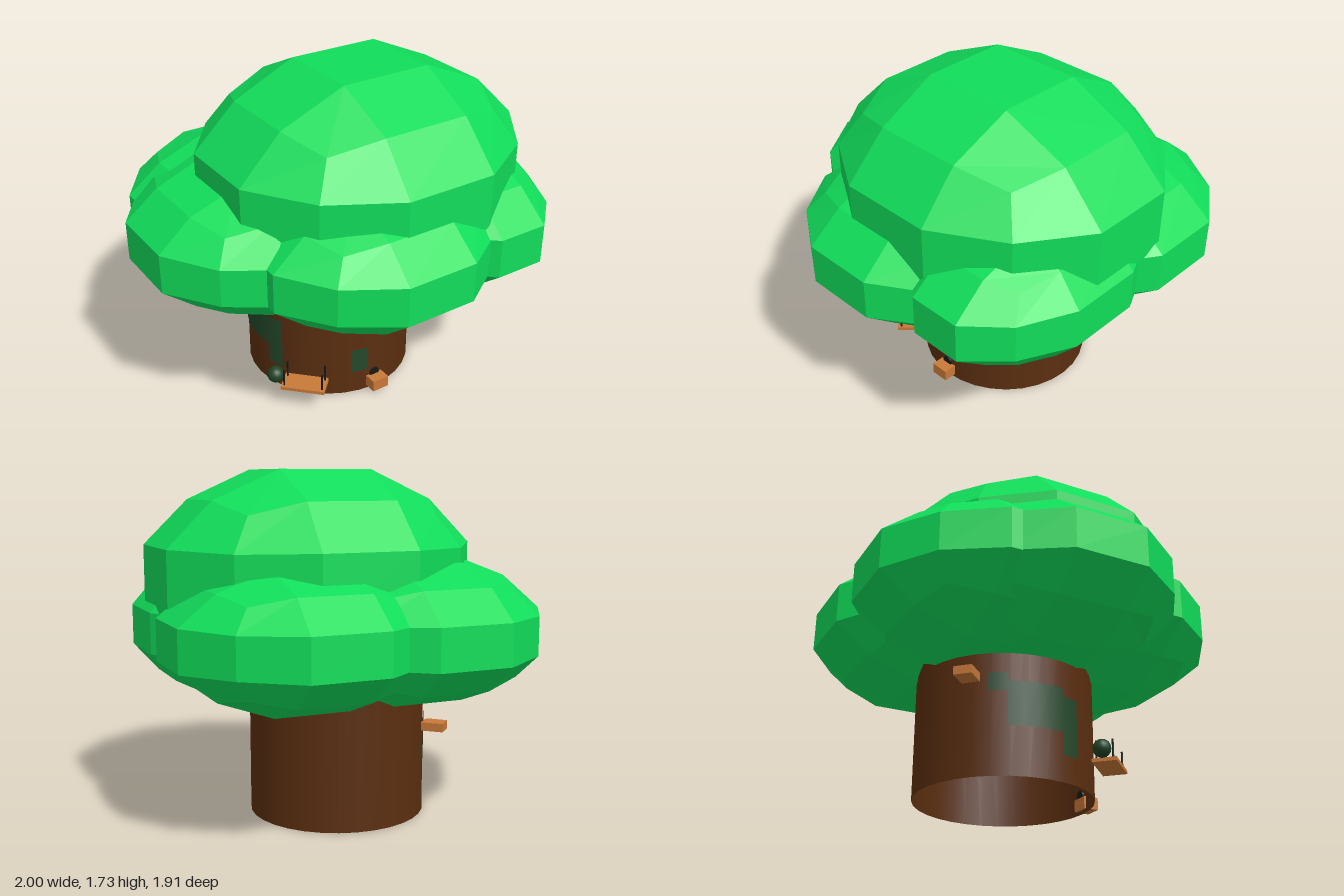
import * as THREE from 'three';

const mat = (color, extra = {}) => new THREE.MeshStandardMaterial({ color, ...extra });
const leaf = mat(0x11dd5a, { flatShading: true });
const bark = mat(0x5a2e10, { side: THREE.DoubleSide });
const moss = mat(0x24482a, { side: THREE.DoubleSide });
const wood = mat(0xc87838, { flatShading: true });
const dark = mat(0x15181a);
const bush = mat(0x1f4426);

// trunk axis and radius
const TX = 0.055, TZ = -0.09, TR = 0.445;

function add(parent, name, geometry, material, x = 0, y = 0, z = 0) {
  const mesh = new THREE.Mesh(geometry, material);
  mesh.name = name;
  mesh.position.set(x, y, z);
  parent.add(mesh);
  return mesh;
}

// Rounded block of 3 x 3 faces per side: edges and corners pulled inwards
function clumpGeometry(hx, hy, hz) {
  const g = new THREE.BoxGeometry(2, 2, 2, 3, 3, 3);
  const p = g.attributes.position;
  const outer = [0, 1, 0.72, 0.6], inner = [0, 0.3, 0.285, 0];
  for (let i = 0; i < p.count; i++) {
    const v = [p.getX(i), p.getY(i), p.getZ(i)];
    const n = v.filter((c) => Math.abs(c) > 0.9).length;
    const w = v.map((c) => Math.sign(c) * (Math.abs(c) > 0.9 ? outer[n] : inner[n]));
    p.setXYZ(i, w[0] * hx, w[1] * hy, w[2] * hz);
  }
  g.computeVertexNormals();
  return g;
}

export function createModel() {
  const tree = new THREE.Group();
  tree.name = 'treeHouse';

  // Trunk, open below
  add(tree, 'trunk', new THREE.CylinderGeometry(TR, TR, 0.85, 32, 1, true), bark, TX, 0.425, TZ);

  // Canopy: one large crown over a ring of five clumps
  const canopy = new THREE.Group();
  canopy.name = 'canopy';
  tree.add(canopy);
  add(canopy, 'crown', clumpGeometry(0.805, 0.53, 0.74), leaf, 0.145, 1.2, 0.05);
  const clumps = [ // x, z, half width, half depth
    [-0.02, 0.35, 0.63, 0.605],
    [0.535, 0.24, 0.445, 0.63],
    [0.365, -0.33, 0.635, 0.63],
    [-0.245, -0.33, 0.625, 0.63],
    [-0.38, -0.085, 0.62, 0.62],
  ];
  for (const [x, z, hx, hz] of clumps) {
    add(canopy, 'leafClump', clumpGeometry(hx, 0.34, hz), leaf, x, 0.94, z);
  }

  // Moss patches hugging the trunk: start and end angle in degrees, bottom, top
  const patches = [
    [-17.6, -5.8, 0.13, 0.27],
    [234, 246, 0.41, 0.5],
    [246, 282, 0.24, 0.46],
    [282, 294, 0.13, 0.42],
  ];
  for (const [a, b, y0, y1] of patches) {
    const rad = Math.PI / 180;
    const g = new THREE.CylinderGeometry(TR + 0.003, TR + 0.003, y1 - y0, 4, 1, true, a * rad, (b - a) * rad);
    add(tree, 'mossPatch', g, moss, TX, (y0 + y1) / 2, TZ);
  }

  // Front step with a dark rounded opening behind it
  add(tree, 'frontStep', new THREE.BoxGeometry(0.095, 0.062, 0.08), wood, 0.055, 0.051, 0.38);
  const opening = add(tree, 'doorOpening', new THREE.CylinderGeometry(0.028, 0.028, 0.02, 16), dark, 0.055, 0.092, 0.352);
  opening.rotation.x = Math.PI / 2;

  // Balcony on the front right of the trunk; local z points outwards
  const balcony = new THREE.Group();
  balcony.name = 'balcony';
  balcony.position.set(-0.335, 0.13, 0.28);
  balcony.rotation.y = -Math.PI / 4;
  tree.add(balcony);
  add(balcony, 'deck', new THREE.BoxGeometry(0.23, 0.018, 0.12), wood);
  for (const x of [-0.1, 0.1]) for (const z of [-0.04, 0.04]) {
    add(balcony, 'railPost', new THREE.CylinderGeometry(0.005, 0.005, 0.1, 8), dark, x, 0.05, z);
  }
  add(balcony, 'bush', new THREE.SphereGeometry(0.044, 16, 12), bush, -0.155, 0.04, 0);

  // Ledge on the back
  const ledge = add(tree, 'backLedge', new THREE.BoxGeometry(0.09, 0.042, 0.11), wood, -0.31, 0.47, -0.465);
  ledge.rotation.y = Math.PI / 4;

  return tree;
}
